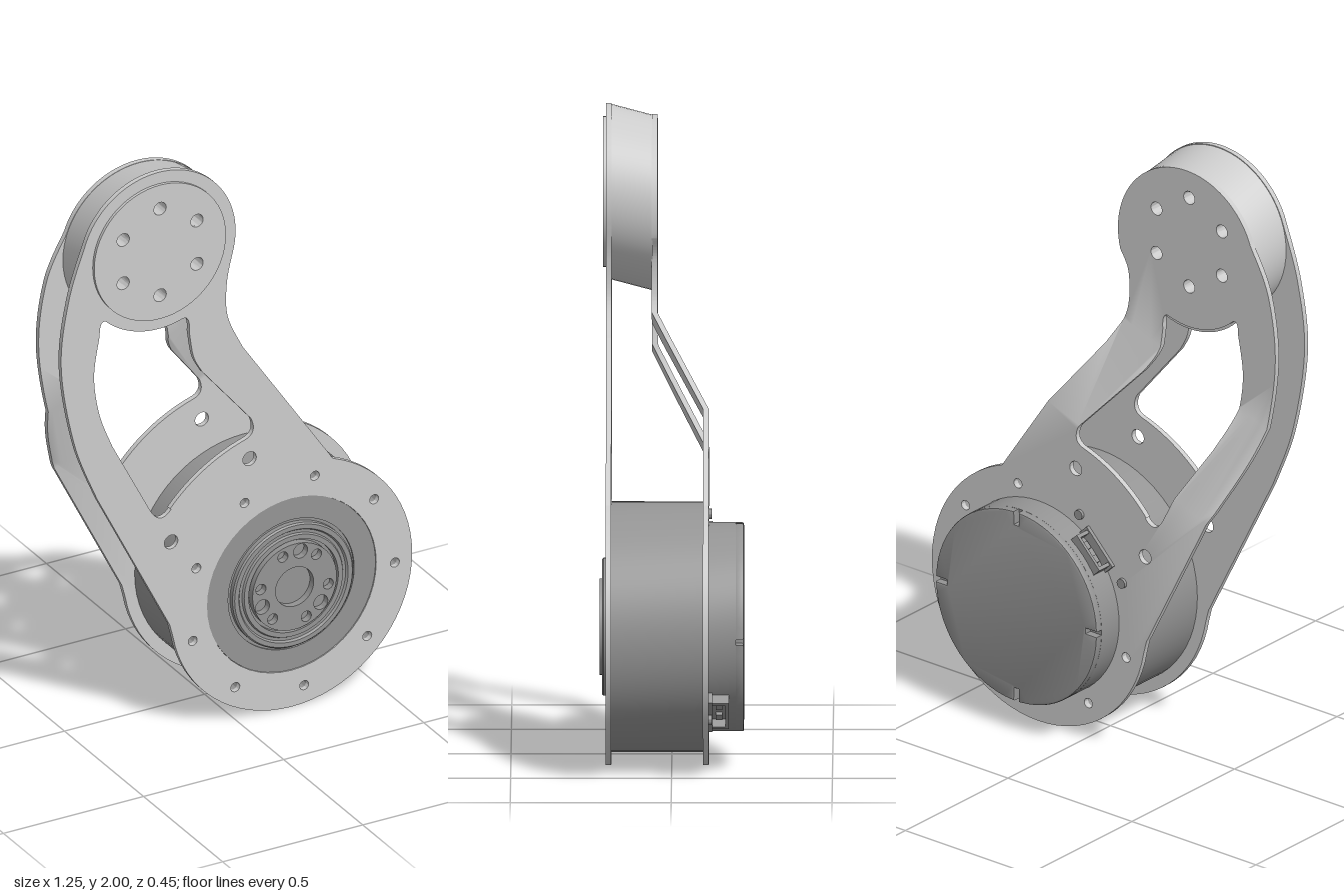
import * as THREE from 'three';
import { toCreasedNormals } from 'three/addons/utils/BufferGeometryUtils.js';

const light = new THREE.MeshStandardMaterial({ color: 0xcccccc });
const dark = new THREE.MeshStandardMaterial({ color: 0x949494 });
const RAD = Math.PI / 180;
const C = new THREE.Vector2(0.195, 0.43);      // motor axis
const H = new THREE.Vector2(-0.28, 1.725);     // joint hub axis
const AXIS = H.clone().sub(C).normalize();     // direction along the arm
const BACK_SHIFT = AXIS.clone().multiplyScalar(-0.035);

const polar = (c, r, deg) => new THREE.Vector2(c.x + r * Math.cos(deg * RAD), c.y + r * Math.sin(deg * RAD));
const vecs = (...p) => p.map(([x, y]) => new THREE.Vector2(x, y));

function circle(c, r, Type = THREE.Path) {
  return new Type().absarc(c.x, c.y, r, 0, Math.PI * 2, false);
}

// Extrude a shape between two z positions
function slab(shape, z0, z1, curveSegments = 32) {
  const g = new THREE.ExtrudeGeometry(shape, { depth: z1 - z0, bevelEnabled: false, curveSegments });
  return g.translate(0, 0, z0);
}

function add(parent, name, geometry, material) {
  const mesh = new THREE.Mesh(toCreasedNormals(geometry, 0.5), material);
  mesh.name = name;
  parent.add(mesh);
  return mesh;
}

const boltHoles = () => Array.from({ length: 9 }, (_, i) => circle(polar(C, 0.369, -3 + i * 40), 0.016));
const hubHoles = () => Array.from({ length: 6 }, (_, i) => circle(polar(H, 0.152, 90 + i * 60), 0.022));

// Arm window between motor and hub, optionally shrunk about its middle
function windowHole(scale) {
  const p = new THREE.Path();
  p.moveTo(-0.49, 1.48);
  p.splineThru(vecs([-0.51, 1.34], [-0.49, 1.2], [-0.445, 1.08]));
  p.lineTo(-0.31, 0.82);
  p.quadraticCurveTo(-0.275, 0.755, -0.235, 0.805);
  p.absarc(C.x, C.y, 0.575, 139 * RAD, 107 * RAD, true);
  p.quadraticCurveTo(0.075, 0.995, 0.05, 1.05);
  p.lineTo(-0.125, 1.26);
  p.splineThru(vecs([-0.155, 1.32], [-0.17, 1.41]));
  p.quadraticCurveTo(-0.165, 1.475, -0.2, 1.462);
  p.absarc(H.x, H.y, 0.275, -74 * RAD, -133 * RAD, true);
  p.quadraticCurveTo(-0.49, 1.535, -0.49, 1.48);
  return new THREE.Path(p.getPoints(12).map(v => new THREE.Vector2(
    -0.25 + (v.x + 0.25) * scale, 1.15 + (v.y - 1.15) * scale)));
}

// Arm plate outline; the hub end may be shifted
function plateShape(shift, scale) {
  const s = new THREE.Shape();
  const hub = H.clone().add(shift);
  s.absarc(C.x, C.y, 0.43, -170 * RAD, 70 * RAD, false);
  s.lineTo(0.325, 0.86);
  s.lineTo(0.02, 1.31);
  s.splineThru([...vecs([-0.033, 1.43], [-0.036, 1.55]), polar(hub, 0.275, -15)]);
  s.absarc(hub.x, hub.y, 0.275, -15 * RAD, 160 * RAD, false);
  s.splineThru(vecs([-0.6, 1.63], [-0.627, 1.4], [-0.58, 1.12], [-0.5, 0.91]));
  s.lineTo(-0.24, 0.4);
  s.holes.push(windowHole(scale), ...boltHoles(), ...hubHoles(),
    circle(new THREE.Vector2(0.045, 0.91), 0.024), circle(new THREE.Vector2(-0.235, 0.69), 0.024));
  return s;
}

const along = v => (v.x - C.x) * AXIS.x + (v.y - C.y) * AXIS.y;

// Split triangles along a line across the arm, so that the plate can fold there
function cutAcross(geometry, at) {
  const pos = geometry.getAttribute('position');
  const pts = [];
  for (let i = 0; i < pos.count; i += 3) {
    const tri = [0, 1, 2].map(k => new THREE.Vector3().fromBufferAttribute(pos, i + k));
    for (const sign of [1, -1]) {
      const poly = [];
      tri.forEach((a, k) => {
        const b = tri[(k + 1) % 3];
        const da = sign * (along(a) - at), db = sign * (along(b) - at);
        if (da >= 0) poly.push(a);
        if (da * db < 0) poly.push(a.clone().lerp(b, da / (da - db)));
      });
      for (let k = 2; k < poly.length; k++) pts.push(poly[0], poly[k - 1], poly[k]);
    }
  }
  return new THREE.BufferGeometry().setFromPoints(pts);
}

function foldedPlate() {
  const low = 0.65, high = 0.97;
  let g = slab(plateShape(BACK_SHIFT, 0.95), 0, 0.018, 24);
  g = cutAcross(cutAcross(g, low), high);
  const pos = g.getAttribute('position');
  for (let i = 0; i < pos.count; i++) {
    const v = new THREE.Vector3().fromBufferAttribute(pos, i);
    const t = THREE.MathUtils.clamp((along(v) - low) / (high - low), 0, 1);
    pos.setZ(i, v.z - 0.115 + 0.16 * t);
  }
  return g;
}

// Hub spacer: a leaning cylinder with straight bolt holes
function hubSpacer() {
  const s = circle(H, 0.273, THREE.Shape);
  s.holes.push(...hubHoles());
  const g = slab(s, 0.06, 0.19);
  const pos = g.getAttribute('position');
  for (let i = 0; i < pos.count; i++) {
    const x = pos.getX(i), y = pos.getY(i);
    if (Math.hypot(x - H.x, y - H.y) < 0.2) continue;
    const k = (0.19 - pos.getZ(i)) / 0.13;
    pos.setXY(i, x + BACK_SHIFT.x * k, y + BACK_SHIFT.y * k);
  }
  return g;
}

// Turned part about the motor axis from [radius, z] pairs, back to front
function turned(...profile) {
  const g = new THREE.LatheGeometry(vecs(...profile), 64);
  return g.rotateX(Math.PI / 2).translate(C.x, C.y, 0).toNonIndexed();
}

// Rear cover disc with four rim notches
function notchedDisc() {
  const pts = [];
  for (let k = 0; k < 4; k++) {
    const a = k * 90;
    pts.push(polar(C, 0.275, a - 3), polar(C, 0.275, a + 3));
    for (let d = 2.6; d <= 87.4; d += 5.3) pts.push(polar(C, 0.319, a + d));
  }
  const g = new THREE.ExtrudeGeometry(new THREE.Shape(pts), {
    depth: 0.018, bevelSize: 0.006, bevelThickness: 0.006, bevelSegments: 2 });
  return g.translate(0, 0, -0.219);
}

export function createModel() {
  const model = new THREE.Group();
  model.name = 'actuatorArm';

  // Arm plates and joint hub
  const front = plateShape(new THREE.Vector2(), 1);
  front.holes.push(circle(C, 0.302));
  add(model, 'frontPlate', slab(front, 0.188, 0.205, 24), light);
  add(model, 'backPlate', foldedPlate(), light);
  add(model, 'hubSpacer', hubSpacer(), light);
  const disc = circle(H, 0.235, THREE.Shape);
  disc.holes.push(...hubHoles());
  add(model, 'hubDisc', slab(disc, 0.2, 0.215), light);

  // Motor body
  const motor = new THREE.Group();
  motor.name = 'motor';
  model.add(motor);
  const body = circle(C, 0.39, THREE.Shape);
  body.holes.push(...boltHoles());
  add(motor, 'motorBody', slab(body, -0.097, 0.188), dark);

  // Front face and output ring with grooves
  add(motor, 'motorFace', turned([0.301, 0.18], [0.301, 0.202], [0.225, 0.202], [0.225, 0.196],
    [0.215, 0.196], [0.215, 0.212], [0.21, 0.217], [0.195, 0.217], [0.19, 0.21], [0.18, 0.21],
    [0.176, 0.217], [0.16, 0.217], [0.16, 0.2], [0, 0.2]), dark);

  // Output flange with bolt and pin holes
  const flange = circle(C, 0.15, THREE.Shape);
  flange.holes.push(circle(C, 0.068));
  for (const a of [80, 200, 320]) {
    flange.holes.push(circle(polar(C, 0.122, a), 0.025));
    for (const d of [-30, 30]) flange.holes.push(circle(polar(C, 0.122, a + d), 0.018));
  }
  add(motor, 'outputFlange', slab(flange, 0.198, 0.224), dark);

  // Rear cover
  add(motor, 'rearCover', slab(circle(C, 0.325, THREE.Shape), -0.2, -0.11), dark);
  add(motor, 'rearCoverDisc', notchedDisc(), dark);

  // Cable sockets on opposite sides of the cover
  for (const a of [136, -44]) {
    const socket = new THREE.Group();
    socket.name = 'cableSocket';
    socket.position.set(C.x, C.y, 0);
    socket.rotation.z = a * RAD;
    motor.add(socket);
    const box = (name, w, h, d, x, y, z) =>
      add(socket, name, new THREE.BoxGeometry(w, h, d).toNonIndexed().translate(x, y, z), dark);
    box('socketBase', 0.08, 0.15, 0.012, 0.315, 0, -0.121);
    box('socketTop', 0.08, 0.13, 0.01, 0.31, 0, -0.173);
    for (const y of [-0.06, 0.06]) box('socketSide', 0.08, 0.012, 0.06, 0.31, y, -0.148);
    for (const y of [-0.025, 0.025]) box('socketPin', 0.06, 0.025, 0.02, 0.305, y, -0.148);
  }

  // Screw ends filling the bolt holes next to the sockets
  for (const a of [117, 157, -43]) {
    add(motor, 'screwEnd', slab(circle(polar(C, 0.369, a), 0.016, THREE.Shape), -0.125, -0.08), dark);
  }
  return model;
}
